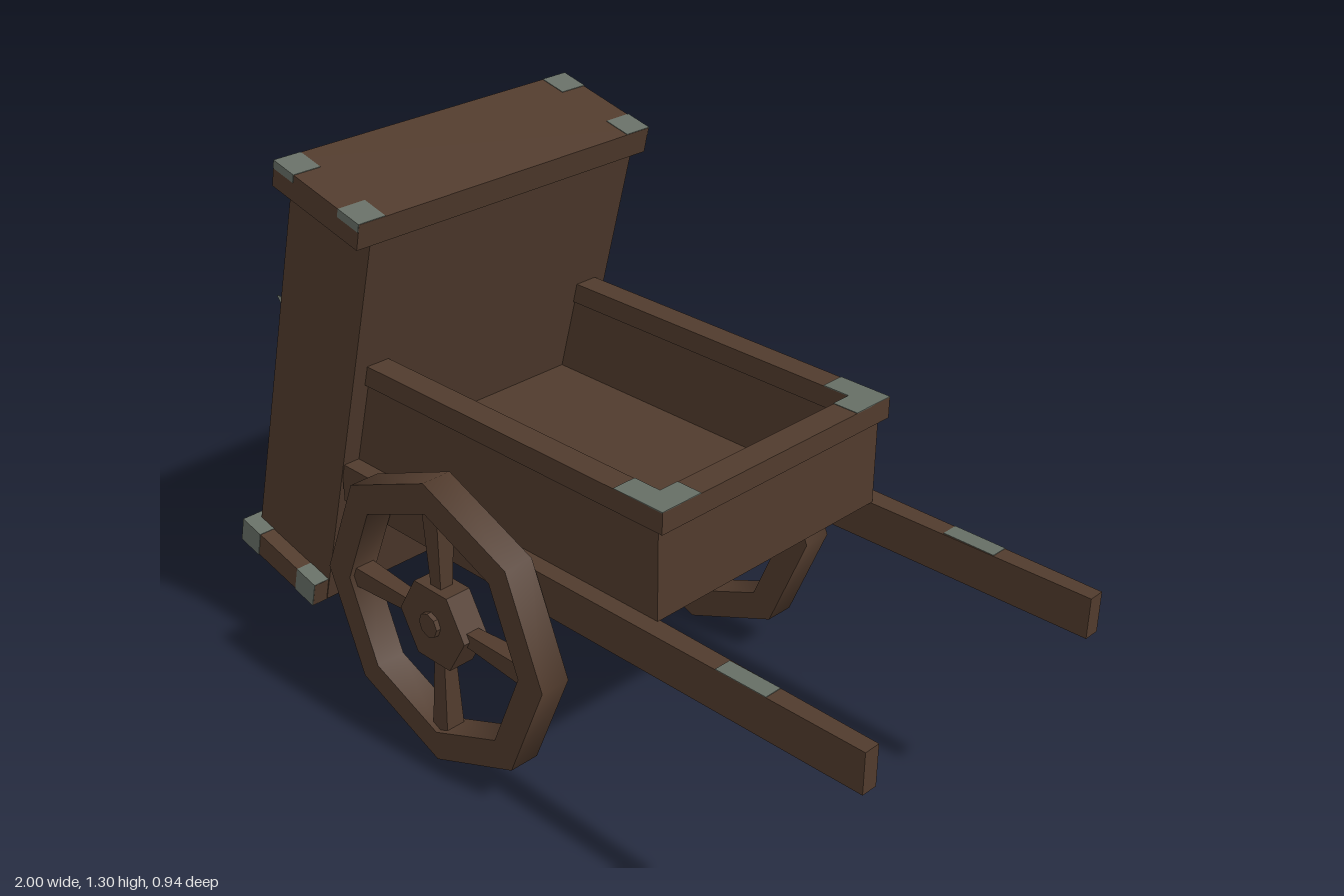
import * as THREE from 'three';
import { toCreasedNormals } from 'three/addons/utils/BufferGeometryUtils.js';

const wood = new THREE.MeshStandardMaterial({ color: 0x513b2d });
wood.name = 'dark wood';
const metal = new THREE.MeshStandardMaterial({ color: 0x666e65 });
metal.name = 'grey metal';

function add(parent, name, geometry, material, x = 0, y = 0, z = 0) {
  const mesh = new THREE.Mesh(geometry, material);
  mesh.name = name;
  mesh.position.set(x, y, z);
  parent.add(mesh);
  return mesh;
}

// Box given by its low and high limits on each axis
function box(parent, name, material, [x0, x1], [y0, y1], [z0, z1]) {
  const g = new THREE.BoxGeometry(x1 - x0, y1 - y0, z1 - z0);
  return add(parent, name, g, material, (x0 + x1) / 2, (y0 + y1) / 2, (z0 + z1) / 2);
}

// Faceted cylinder, cone or frustum
function facets(top, bottom, height, sides) {
  return toCreasedNormals(new THREE.CylinderGeometry(top, bottom, height, sides), 0.1);
}

// Limits mirrored to the side given by s
const span = (s, a, b) => (s > 0 ? [a, b] : [-b, -a]);

// Polygon with a corner straight up
function polygon(target, radius, sides) {
  for (let i = 0; i < sides; i++) {
    const a = Math.PI / 2 + (i / sides) * Math.PI * 2;
    const p = [Math.cos(a) * radius, Math.sin(a) * radius];
    if (i === 0) target.moveTo(...p); else target.lineTo(...p);
  }
  target.closePath();
  return target;
}

function createWheel(s) {
  const wheel = new THREE.Group();
  wheel.name = 'wheel';
  const rim = polygon(new THREE.Shape(), 0.36, 8);
  rim.holes.push(polygon(new THREE.Path(), 0.285, 8));
  // smooth around the tread, sharp at the side faces
  const rimGeometry = toCreasedNormals(new THREE.ExtrudeGeometry(rim, { depth: 0.075, bevelEnabled: false }), 1);
  add(wheel, 'wheelRim', rimGeometry, wood, 0, 0, -0.0375);
  // hexagonal hub with corners pointing sideways
  add(wheel, 'hub', facets(0.108, 0.108, 0.066, 6).rotateY(Math.PI / 2).rotateX(Math.PI / 2), wood);
  add(wheel, 'axleCap', facets(0.03, 0.03, 0.06, 8).rotateX(Math.PI / 2), wood, 0, 0.006, s * 0.015);
  for (let i = 0; i < 4; i++) {
    const g = facets(0.036, 0.023, 0.22, 4).rotateY(Math.PI / 4).translate(0, 0.185, 0);
    add(wheel, 'spoke', g, wood).rotation.z = (i * Math.PI) / 2;
  }
  wheel.position.set(-0.14, 0.36, s * 0.4225);
  return wheel;
}

// Board across one end of the shield, with guards on its corners;
// the guards lie flush with the short edges and cover guardY of the height
function createEndPlate(name, x, y, degrees, halfWidth, guardY) {
  const plate = new THREE.Group();
  plate.name = name;
  plate.position.set(x, y, 0);
  plate.rotation.z = -THREE.MathUtils.degToRad(degrees);
  box(plate, 'plateBoard', wood, [-halfWidth, halfWidth], [-0.0315, 0.0315], [-0.425, 0.425]);
  for (const sx of [-1, 1]) for (const sz of [-1, 1]) {
    box(plate, 'cornerGuard', metal, span(sx, halfWidth - 0.07, halfWidth - 0.0005), guardY, span(sz, 0.355, 0.4265));
  }
  return plate;
}

function createShield() {
  const shield = new THREE.Group();
  shield.name = 'spikedShield';
  shield.add(
    createEndPlate('topPlate', -0.4946, 1.2368, 13.3, 0.146, [0.013, 0.033]),
    createEndPlate('bottomPlate', -0.763, 0.2407, 13.8, 0.144, [-0.033, 0.033]),
  );

  const body = new THREE.Group();
  body.name = 'shieldBody';
  const tilt = THREE.MathUtils.degToRad(14.8);
  const cx = -0.627, cy = 0.7387, face = -0.13;
  body.position.set(cx, cy, 0);
  body.rotation.z = -tilt;
  box(body, 'shieldSlab', wood, [face, 0.142], [-0.543, 0.49], [-0.385, 0.385]);
  shield.add(body);

  // spikes: tip x, y, z and radius at the foot
  const spikes = [
    [-0.85, 1.155, 0.11, 0.084], [-0.84, 1.015, -0.26, 0.064],
    [-0.85, 0.91, -0.03, 0.062], [-0.945, 0.83, 0.235, 0.072],
    [-0.985, 0.705, -0.05, 0.068], [-1.0, 0.605, -0.22, 0.074],
    [-0.94, 0.61, 0.22, 0.066], [-0.985, 0.455, 0.06, 0.074],
  ];
  for (const [tx, ty, tz, r] of spikes) {
    const dx = tx - cx, dy = ty - cy;
    const length = face - (dx * Math.cos(tilt) - dy * Math.sin(tilt));
    const foot = length * 0.24;
    const spike = new THREE.Group();
    spike.name = 'spike';
    spike.position.set(face, dx * Math.sin(tilt) + dy * Math.cos(tilt), tz);
    spike.rotation.z = Math.PI / 2;
    add(spike, 'spikeFoot', facets(r * 0.76, r, foot, 5), wood, 0, foot / 2, 0);
    add(spike, 'spikeTip', facets(0, r * 0.76, length - foot, 5), metal, 0, (length + foot) / 2, 0);
    body.add(spike);
  }
  return shield;
}

// Beam with a straight outer side that thickens inwards to the rear
function handleGeometry(s) {
  const g = new THREE.BoxGeometry(1.53, 0.097, 0.04);
  const p = g.attributes.position;
  for (let i = 0; i < p.count; i++) {
    const inner = p.getZ(i) * s < 0;
    p.setZ(i, s * (inner ? (p.getX(i) > 0 ? 0.343 : 0.316) : 0.382));
  }
  g.computeVertexNormals();
  return g;
}

function createCart() {
  const cart = new THREE.Group();
  cart.name = 'cart';
  box(cart, 'floor', wood, [-0.53, 0.43], [0.585, 0.61], [-0.335, 0.335]);
  box(cart, 'endWall', wood, [0.39, 0.435], [0.585, 0.8], [-0.34, 0.34]);
  box(cart, 'endRim', wood, [0.39, 0.455], [0.798, 0.848], [-0.35, 0.35]);
  for (const s of [-1, 1]) {
    box(cart, 'sideWall', wood, [-0.53, 0.39], [0.585, 0.8], span(s, 0.295, 0.34));
    box(cart, 'sideRim', wood, [-0.5, 0.39], [0.798, 0.848], span(s, 0.29, 0.35));
    // thin corner plates on the rim
    box(cart, 'rimCornerPlate', metal, [0.39, 0.455], [0.8475, 0.8495], span(s, 0.24, 0.35));
    box(cart, 'rimCornerPlate', metal, [0.32, 0.39], [0.8475, 0.8495], span(s, 0.29, 0.35));
    add(cart, 'handle', handleGeometry(s), wood, 0.235, 0.5375, 0);
    box(cart, 'handlePlate', metal, [0.63, 0.76], [0.5855, 0.5875], span(s, 0.34, 0.382));
  }
  return cart;
}

export function createModel() {
  const model = new THREE.Group();
  model.name = 'spikedHandcart';
  model.add(createShield(), createCart(), createWheel(1), createWheel(-1));
  return model;
}
